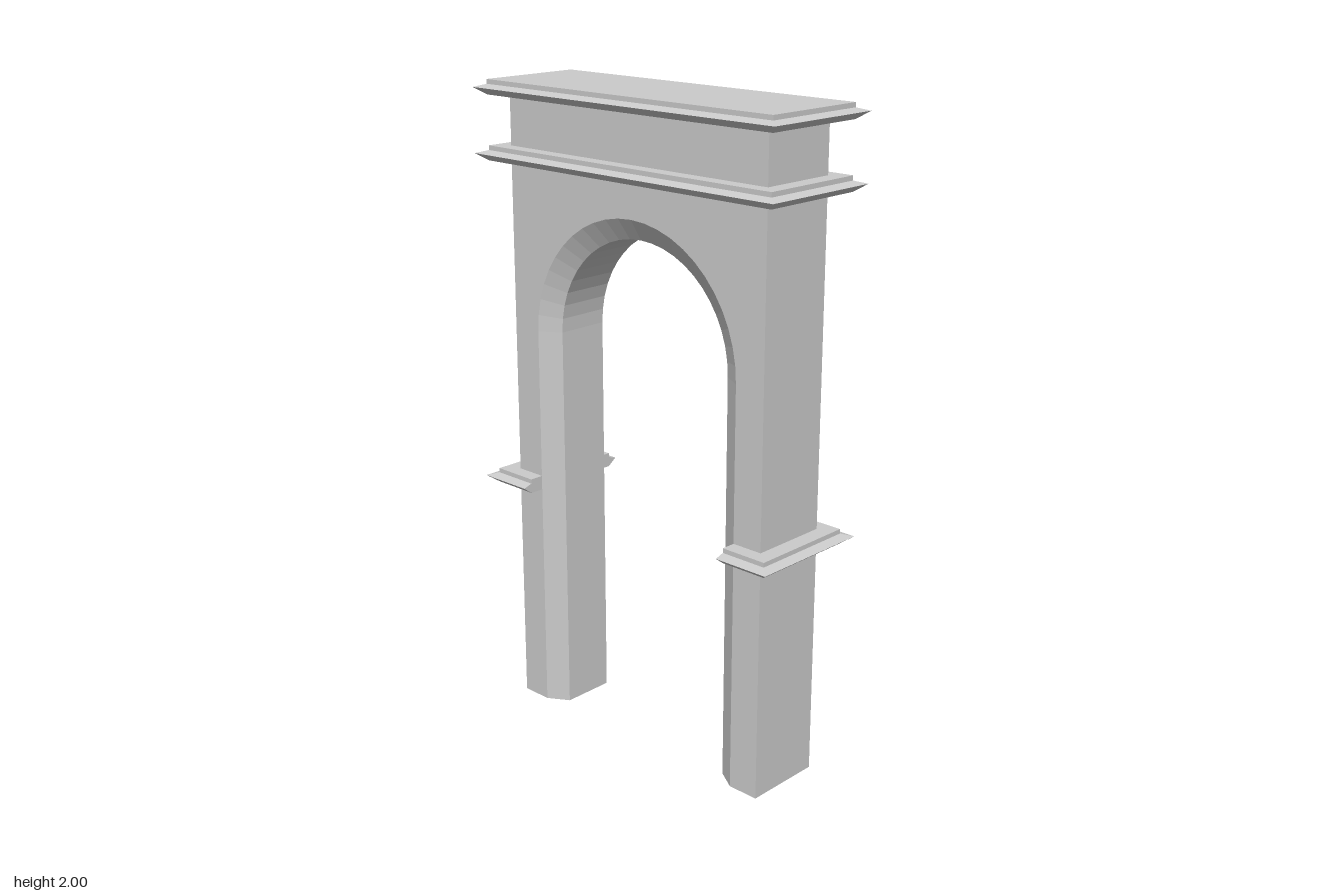
import * as THREE from 'three';

const material = new THREE.MeshStandardMaterial({ color: 0xcccccc, flatShading: true });

const HALF_W = 0.5, HALF_D = 0.125, TOP = 1.97;
const OUTER_R = 0.4, INNER_R = 0.335, SPRING = 1.25;
const CHAMFER = 0.04, ARC_STEPS = 24;

// Gate wall: extruded in three steps, with the middle rings of the opening
// pulled inwards to form the chamfer on both faces.
function wallGeometry() {
  const points = [[HALF_W, 0], [HALF_W, TOP], [-HALF_W, TOP], [-HALF_W, 0], [-OUTER_R, 0]];
  for (let i = 0; i <= ARC_STEPS; i++) {
    const a = Math.PI * (1 - i / ARC_STEPS);
    points.push([OUTER_R * Math.cos(a), SPRING + OUTER_R * Math.sin(a)]);
  }
  points.push([OUTER_R, 0]);
  const shape = new THREE.Shape(points.map(p => new THREE.Vector2(...p)));
  const geometry = new THREE.ExtrudeGeometry(shape, { depth: 2 * HALF_D, steps: 3, bevelEnabled: false });
  geometry.translate(0, 0, -HALF_D);

  const pos = geometry.attributes.position;
  const k = INNER_R / OUTER_R;
  for (let i = 0; i < pos.count; i++) {
    let x = pos.getX(i), y = pos.getY(i), z = pos.getZ(i);
    if (Math.abs(z) > HALF_D - 0.01) continue;
    z = Math.sign(z) * (HALF_D - CHAMFER);
    if (Math.abs(x) < 0.45 && y < 1.7) {
      x *= k;
      if (y > SPRING) y = SPRING + (y - SPRING) * k;
    }
    pos.setXYZ(i, x, y, z);
  }
  geometry.computeVertexNormals();
  return geometry;
}

// Moulding: rectangles lofted through a profile of [height, inset].
// With cut given, the left end stops flat at x = cut.
function mouldingGeometry(top, cut) {
  const profile = [[-0.045, 0.03], [-0.023, 0], [-0.014, 0.03], [0, 0.03]];
  const rings = profile.map(([y, inset]) => {
    const x1 = 0.58 - inset, x0 = cut ?? -x1, z = 0.2 - inset;
    return [[x0, top + y, z], [x1, top + y, z], [x1, top + y, -z], [x0, top + y, -z]];
  });
  const verts = [];
  const quad = (a, b, c, d) => verts.push(...a, ...b, ...c, ...a, ...c, ...d);
  for (let r = 0; r < rings.length - 1; r++) {
    for (let i = 0; i < 4; i++) {
      const j = (i + 1) % 4;
      quad(rings[r][i], rings[r][j], rings[r + 1][j], rings[r + 1][i]);
    }
  }
  quad(...rings[rings.length - 1]);
  quad(...rings[0].slice().reverse());
  const geometry = new THREE.BufferGeometry();
  geometry.setAttribute('position', new THREE.Float32BufferAttribute(verts, 3));
  geometry.computeVertexNormals();
  return geometry;
}

export function createModel() {
  const group = new THREE.Group();
  group.name = 'archway';
  const add = (name, geometry) => {
    const mesh = new THREE.Mesh(geometry, material);
    mesh.name = name;
    group.add(mesh);
    return mesh;
  };

  add('archWall', wallGeometry());

  // Two cornices run right round the top
  add('topCornice', mouldingGeometry(2));
  add('lowerCornice', mouldingGeometry(1.805));

  // Imposts wrap the outer three sides of each pillar
  add('leftImpost', mouldingGeometry(0.78, OUTER_R));
  add('rightImpost', mouldingGeometry(0.78, OUTER_R)).rotation.y = Math.PI;

  return group;
}
